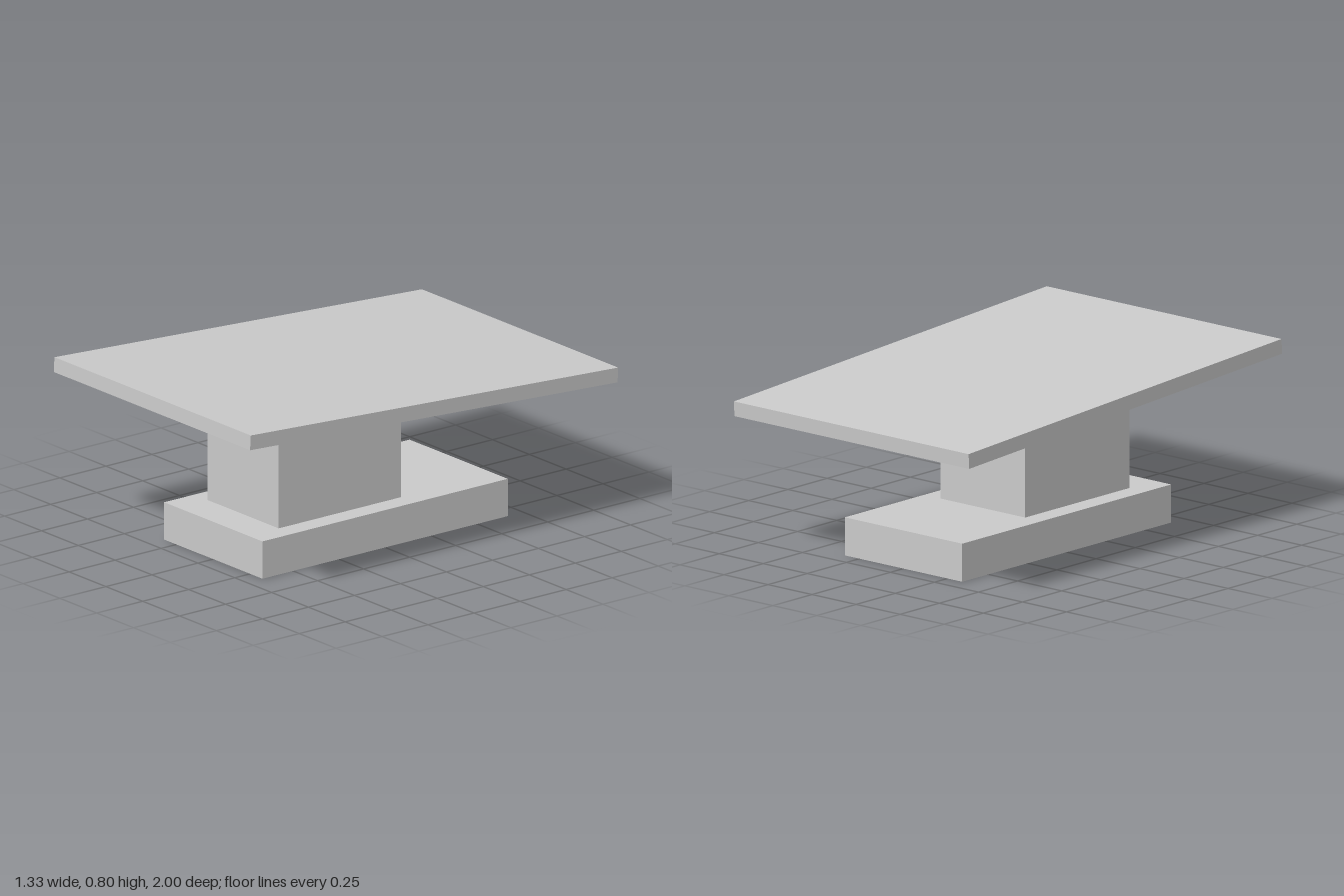
import * as THREE from 'three';

export function createModel() {
  const model = new THREE.Group();
  model.name = 'pedestalTable';
  const material = new THREE.MeshStandardMaterial({ color: 0xcccccc, flatShading: true });

  // Box placed by its size and centre
  const addBox = (name, size, centre) => {
    const mesh = new THREE.Mesh(new THREE.BoxGeometry(...size), material);
    mesh.name = name;
    mesh.position.set(...centre);
    model.add(mesh);
    return mesh;
  };

  // Foot plate on the ground
  addBox('base', [0.667, 0.167, 1.333], [0, 0.0835, 0]);

  // Column set forward of the middle, its top sunk into the sloping slab
  addBox('column', [0.482, 0.536, 0.665], [0, 0.435, 0.1715]);

  // Table top, raised towards the front
  const top = addBox('tableTop', [1.333, 0.0655, 1.9996], [0, 0.7075, 0]);
  top.rotation.x = -0.058;

  return model;
}
